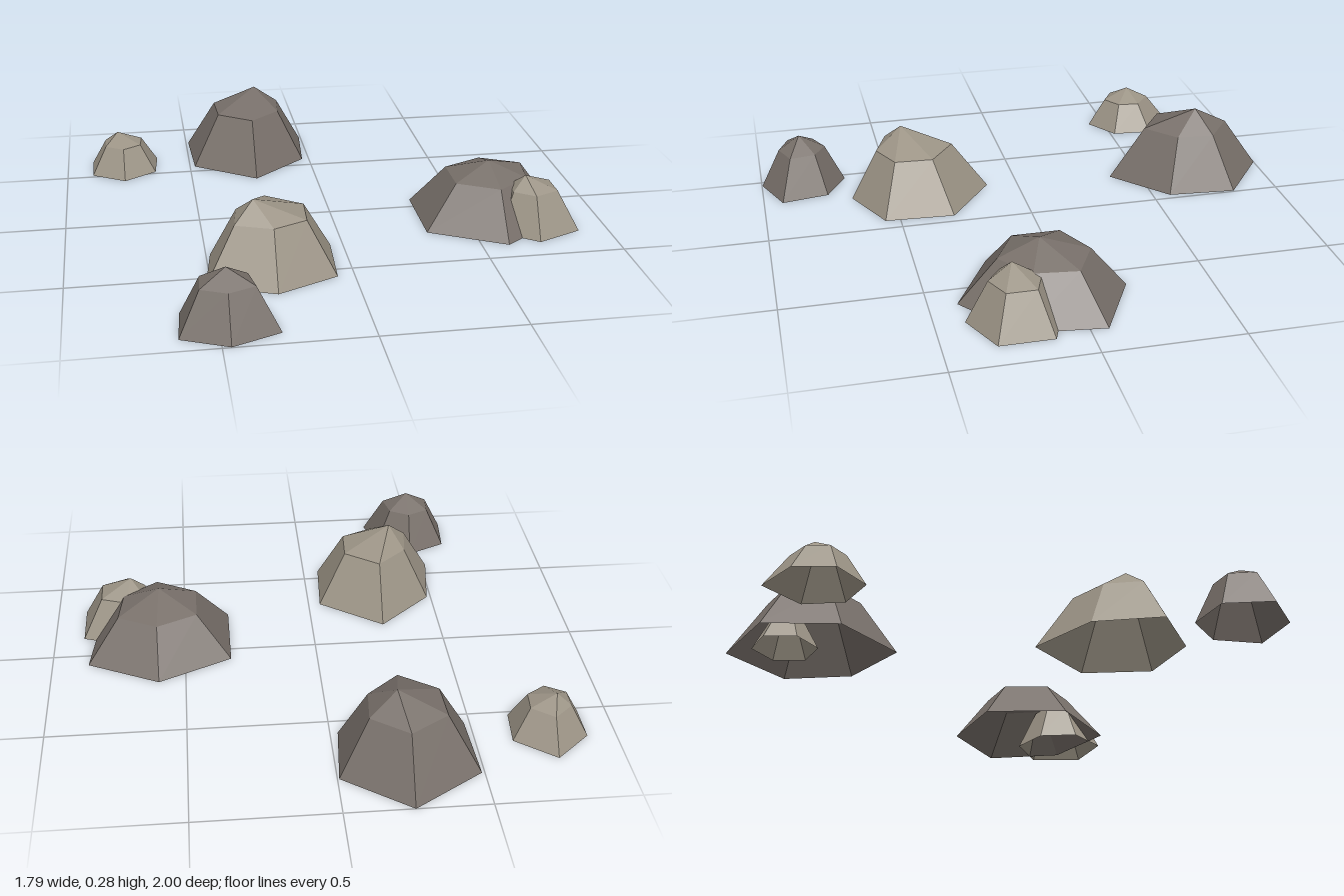
import * as THREE from 'three';

// Shoulder ring is the base outline shrunk by this factor
const SHRINK = 0.55;

// centre [x,z]; six base radii, starting at the back and running clockwise from above;
// shoulder height and peak height; peak offset [x,z] from the centre
const ROCKS = [
  { name: 'backRock', tone: 'dark', centre: [-0.24, -0.69], radii: [0.31, 0.27, 0.245, 0.31, 0.277, 0.289],
    heights: [0.2, 0.28], lean: [0.03, -0.03] },
  { name: 'backPebble', tone: 'light', centre: [-0.77, -0.59], radii: [0.19, 0.16, 0.145, 0.155, 0.148, 0.148],
    heights: [0.11, 0.15], lean: [-0.02, -0.02] },
  { name: 'middleRock', tone: 'light', centre: [-0.28, 0.43], radii: [0.31, 0.271, 0.254, 0.23, 0.277, 0.237],
    heights: [0.195, 0.265], lean: [-0.06, 0.02] },
  { name: 'frontRock', tone: 'dark', centre: [-0.47, 0.83], radii: [0.16, 0.16, 0.196, 0.168, 0.188, 0.173],
    heights: [0.15, 0.205], lean: [0, 0.01] },
  { name: 'leftRock', tone: 'dark', centre: [0.6, 0.09], radii: [0.29, 0.306, 0.266, 0.31, 0.315, 0.315],
    heights: [0.16, 0.22], lean: [-0.01, 0.02] },
  { name: 'leftPebble', tone: 'light', centre: [0.72, 0.22], radii: [0.16, 0.196, 0.196, 0.175, 0.15, 0.14],
    heights: [0.148, 0.2], lean: [-0.02, 0.01] },
  // small stone tucked beneath the hollow back rock
  { name: 'hiddenPebble', tone: 'light', centre: [-0.28, -0.78], radii: [0.12, 0.12, 0.12, 0.12, 0.12, 0.12],
    heights: [0.1, 0.14], lean: [0, 0] },
];

// Open-bottomed faceted shell: sloping sides, then a shallow cap
function rockGeometry({ centre: [cx, cz], radii, heights: [shoulder, top], lean }) {
  const positions = [];
  const tri = (...corners) => corners.forEach((c) => positions.push(...c));
  const corner = (i, scale, y) => {
    const angle = (i * Math.PI) / 3;
    const r = radii[i % 6] * scale;
    return [cx + r * Math.sin(angle), y, cz - r * Math.cos(angle)];
  };
  const peak = [cx + lean[0], top, cz + lean[1]];
  for (let i = 0; i < 6; i++) {
    const b0 = corner(i, 1, 0), b1 = corner(i + 1, 1, 0);
    const r0 = corner(i, SHRINK, shoulder), r1 = corner(i + 1, SHRINK, shoulder);
    tri(b1, b0, r0);
    tri(b1, r0, r1);
    tri(peak, r1, r0);
  }
  const geometry = new THREE.BufferGeometry();
  geometry.setAttribute('position', new THREE.Float32BufferAttribute(positions, 3));
  geometry.computeVertexNormals();
  return geometry;
}

export function createModel() {
  const stone = (name, color) => {
    const m = new THREE.MeshStandardMaterial({ color, flatShading: true, side: THREE.DoubleSide });
    m.name = name;
    return m;
  };
  const materials = { dark: stone('darkStone', 0x78706a), light: stone('lightStone', 0x9c9486) };

  const group = new THREE.Group();
  group.name = 'rocks';
  for (const rock of ROCKS) {
    const mesh = new THREE.Mesh(rockGeometry(rock), materials[rock.tone]);
    mesh.name = rock.name;
    group.add(mesh);
  }
  return group;
}
